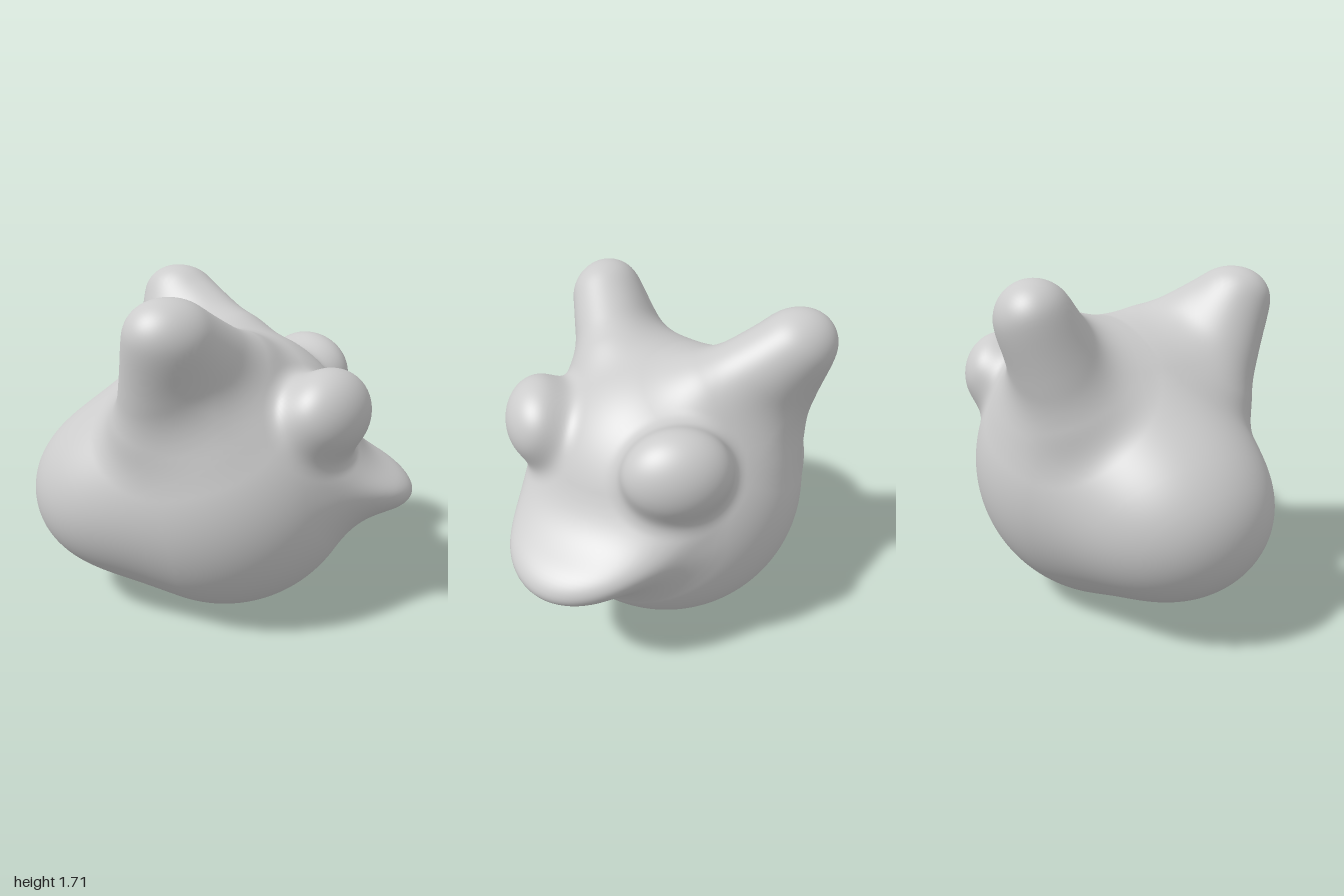
import * as THREE from 'three';
import { mergeVertices } from 'three/addons/utils/BufferGeometryUtils.js';

// Smooth union of two distances
function blend(a, b, k) {
  const h = Math.max(k - Math.abs(a - b), 0) / k;
  return Math.min(a, b) - h * h * k * 0.25;
}

// Distance to a rounded cone between two balls given as [x, y, z, radius]
function roundCone(p, a, b) {
  const bx = b[0] - a[0], by = b[1] - a[1], bz = b[2] - a[2], rr = a[3] - b[3];
  const l2 = bx * bx + by * by + bz * bz, a2 = l2 - rr * rr;
  const px = p.x - a[0], py = p.y - a[1], pz = p.z - a[2];
  const y = px * bx + py * by + pz * bz, z = y - l2;
  const qx = px * l2 - bx * y, qy = py * l2 - by * y, qz = pz * l2 - bz * y;
  const x2 = qx * qx + qy * qy + qz * qz, y2 = y * y * l2, z2 = z * z * l2;
  const k = Math.sign(rr) * rr * rr * x2;
  if (Math.sign(z) * a2 * z2 > k) return Math.sqrt(x2 + z2) / l2 - b[3];
  if (Math.sign(y) * a2 * y2 < k) return Math.sqrt(x2 + y2) / l2 - a[3];
  return (Math.sqrt(x2 * a2 / l2) + y * rr) / l2 - a[3];
}

function ball(p, [x, y, z, r]) {
  return Math.hypot(p.x - x, p.y - y, p.z - z) - r;
}

function ellipsoid(x, y, z, rx, ry, rz) {
  const k0 = Math.hypot(x / rx, y / ry, z / rz);
  const k1 = Math.hypot(x / rx ** 2, y / ry ** 2, z / rz ** 2);
  return k0 * (k0 - 1) / k1;
}

// Balls as [x, y, z, radius]
const belly = [0, 0.715, 0, 0.715], forehead = [0.05, 0.86, 0, 0.6];
const earTip = [-0.3, 1.54, 0.59, 0.135], earCrest = [-0.19, 1.53, 0.55, 0.14];
const earFront = [0.04, 1.32, 0.29, 0.18], earBack = [-0.32, 1.1, 0.4, 0.19];
const earCore = [-0.23, 1.5, 0.54, 0.15], earRoot = [-0.12, 1.1, 0.3, 0.3];

function distance(point) {
  // Mirrored across the middle plane
  const p = { x: point.x, y: point.y, z: Math.abs(point.z) };

  // Belly, forehead and rump
  let d = blend(ball(p, belly), ball(p, forehead), 0.06);
  d = blend(d, ellipsoid(p.x + 0.57, p.y - 0.62, p.z, 0.43, 0.42, 0.47), 0.25);

  // Ear: thick core with a front ridge and a back edge
  let ear = blend(roundCone(p, earCore, earRoot), roundCone(p, earCrest, earFront), 0.12);
  ear = blend(ear, roundCone(p, earTip, earBack), 0.12);
  d = blend(d, ear, 0.16);

  // Wide beak, sloping down to its tip, its corners curving upward
  const beakY = 0.615 + 0.12 * (1 - p.x) + 0.4 * p.z * p.z;
  d = blend(d, ellipsoid(p.x - 0.5, p.y - beakY, p.z, 0.5, 0.18, 0.44), 0.18);

  // Bulging eye, flattened toward the face
  const ex = p.x - 0.47, ez = p.z - 0.405;
  const eye = ellipsoid((ex + ez) * Math.SQRT1_2, p.y - 1.14, (ex - ez) * Math.SQRT1_2, 0.18, 0.215, 0.25);
  return blend(d, eye, 0.1);
}

export function createModel() {
  const group = new THREE.Group();
  group.name = 'creature';

  // Fine sphere shrunk along its rays onto the blended shape
  let geometry = new THREE.IcosahedronGeometry(1, 70);
  geometry.deleteAttribute('uv');
  geometry.deleteAttribute('normal');
  geometry = mergeVertices(geometry, 1e-5);

  const centre = new THREE.Vector3(-0.05, 0.76, 0);
  const pos = geometry.attributes.position;
  const dir = new THREE.Vector3(), p = new THREE.Vector3();
  for (let i = 0; i < pos.count; i++) {
    dir.fromBufferAttribute(pos, i).normalize();
    let t = 1.7;
    for (let step = 0; step < 160; step++) {
      p.copy(centre).addScaledVector(dir, t);
      const d = distance(p);
      if (d < 0.0002) break;
      t -= d * 0.75;
    }
    pos.setXYZ(i, p.x, p.y, p.z);
  }
  geometry.computeVertexNormals();

  const body = new THREE.Mesh(
    geometry,
    new THREE.MeshStandardMaterial({ color: 0xcccccc })
  );
  body.name = 'bodyWithEarsEyesAndBeak';
  group.add(body);
  return group;
}
